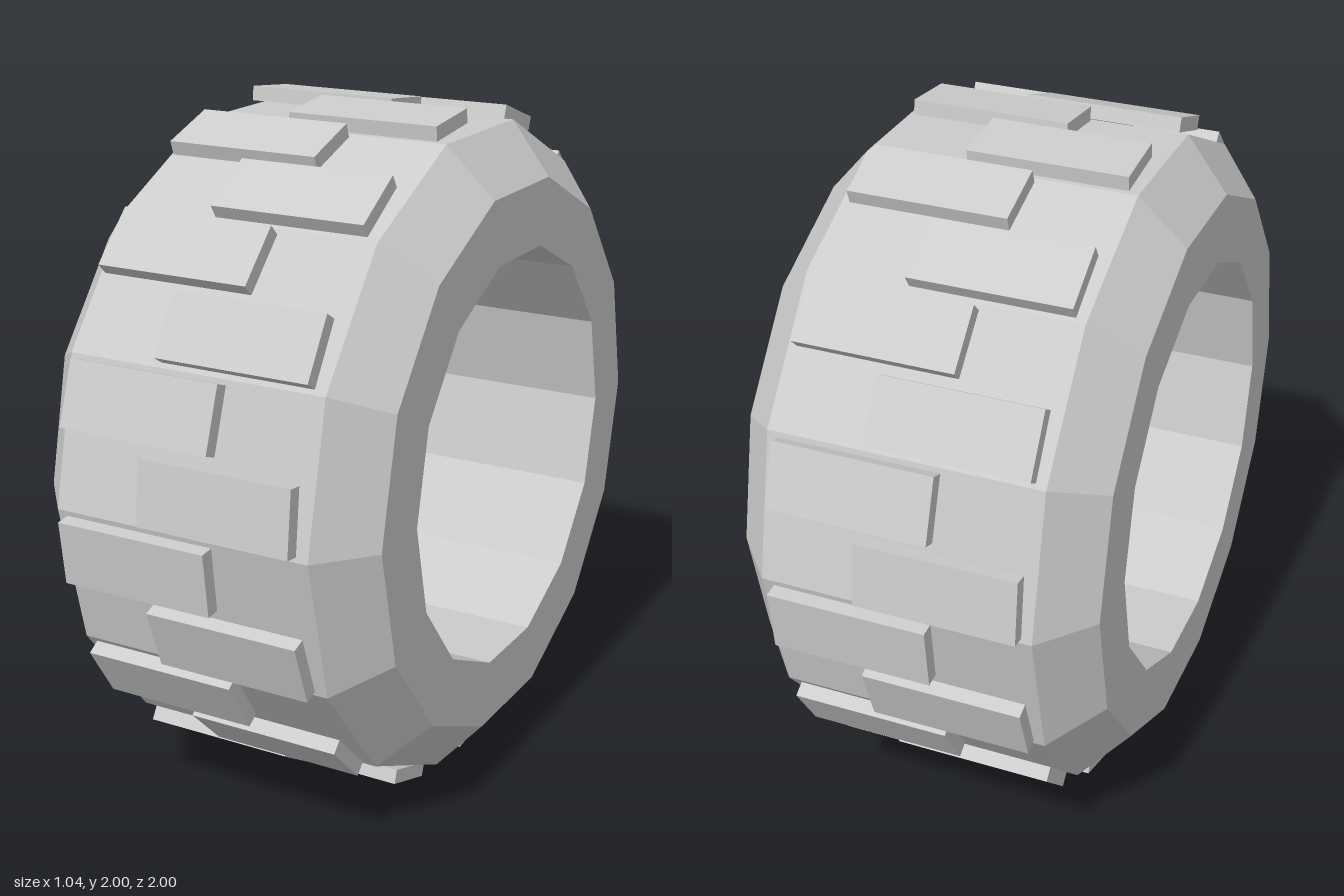
import * as THREE from 'three';

const SIDES = 14;       // facets of the tyre
const LUGS = SIDES * 2; // tread blocks, two per facet

export function createModel() {
  const model = new THREE.Group();
  model.name = 'tyre';
  const rubber = new THREE.MeshStandardMaterial({ color: 0xcccccc, flatShading: true });

  // Hollow tyre body: closed (radius, width) section, spun and laid on the x axis
  const section = [
    [0.615, -0.52], [0.81, -0.52], [0.96, -0.39],
    [0.96, 0.39], [0.81, 0.52], [0.615, 0.52], [0.615, -0.52],
  ].map(([r, w]) => new THREE.Vector2(r, w));
  const bodyGeometry = new THREE.LatheGeometry(section, SIDES);
  bodyGeometry.rotateZ(-Math.PI / 2);
  const body = new THREE.Mesh(bodyGeometry, rubber);
  body.name = 'tyreBody';
  body.position.y = 1;
  model.add(body);

  // Tread blocks, staggered left and right around the rim
  const tread = new THREE.Group();
  tread.name = 'tread';
  tread.position.y = 1;
  const lugGeometry = new THREE.BoxGeometry(0.46, 0.186, 0.042);
  for (let i = 0; i < LUGS; i++) {
    const angle = ((i + 0.5) / LUGS) * Math.PI * 2;
    const lug = new THREE.Mesh(lugGeometry, rubber);
    lug.name = 'treadBlock';
    lug.position.set(i % 2 ? -0.13 : 0.125, 0.975 * Math.sin(angle), 0.975 * Math.cos(angle));
    lug.rotation.x = -angle;
    tread.add(lug);
  }
  model.add(tread);
  return model;
}
